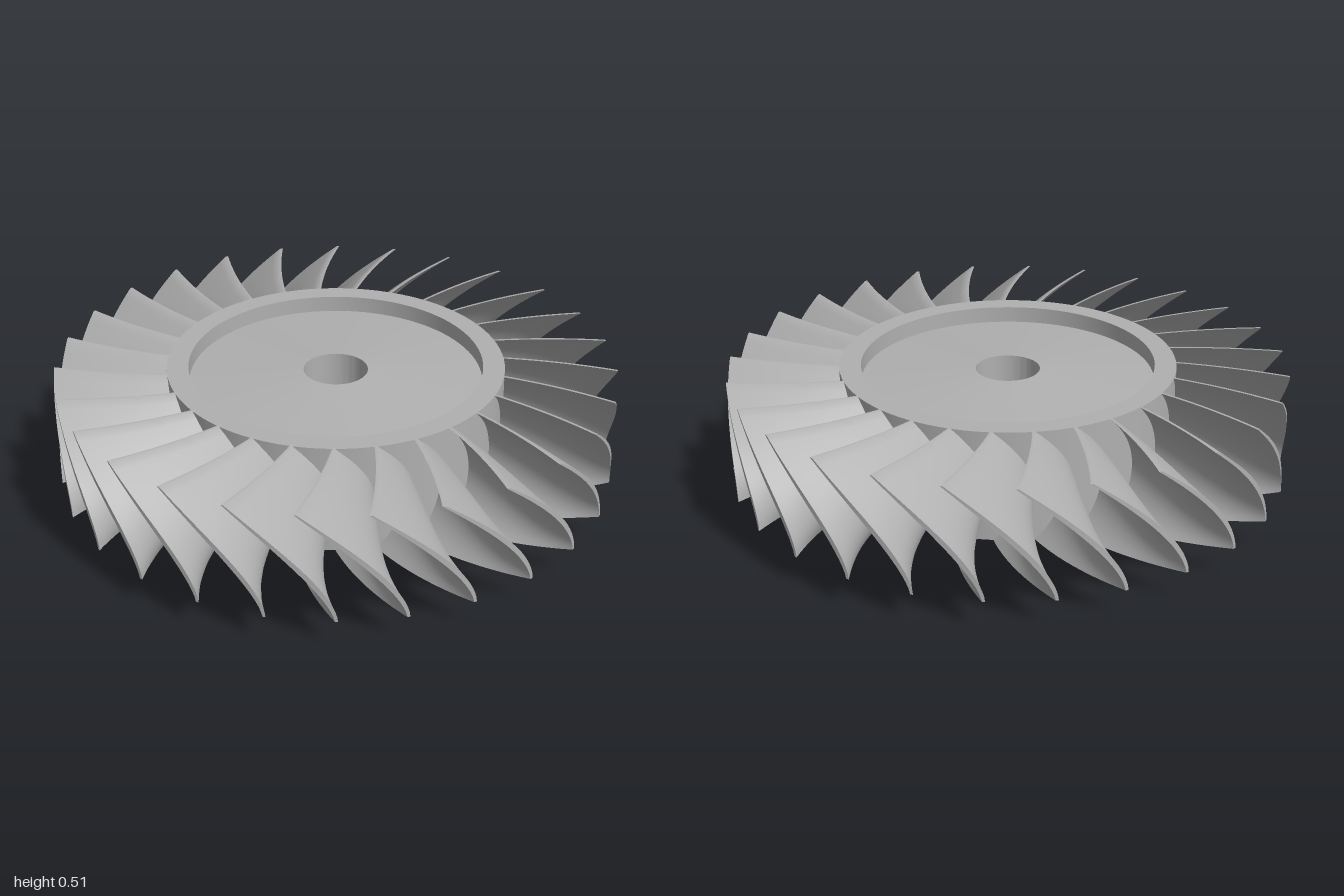
import * as THREE from 'three';
import { toCreasedNormals } from 'three/addons/utils/BufferGeometryUtils.js';

const BLADES = 27, BOTTOM = 0.11, TOP = 0.51;
const RAD = Math.PI / 180;

// Centre-line angle in degrees: u runs top to bottom, t runs root to tip.
function camber(u, t) {
  const root = 6.5 + 11 * 4 * u * (1 - u) + u;
  const tip = 20.7 * (1 - Math.pow(1 - u, 1.5));
  return root + (tip - root) * t;
}

// One twisted blade: closed loops around the section, stacked outward.
function bladeGeometry() {
  const N = 20, ROWS = 14, LOOP = 2 * (N + 1);
  const pos = [], index = [];
  for (let i = 0; i <= ROWS; i++) {
    const r = 0.59 + 0.41 * i / ROWS;
    const t = (r - 0.6) / 0.4;
    for (let j = 0; j < LOOP; j++) {
      const side = j <= N ? 1 : -1;
      const u = (side > 0 ? j : LOOP - 1 - j) / N;
      const half = 0.005 + (0.013 - 0.006 * t) * Math.sin(Math.PI * u);
      const a = camber(u, t) * RAD + side * half / r;
      pos.push(r * Math.sin(a), TOP + (BOTTOM - TOP) * u, r * Math.cos(a));
    }
  }
  for (let i = 0; i < ROWS; i++) {
    for (let j = 0; j < LOOP; j++) {
      const k = (j + 1) % LOOP;
      const a = i * LOOP + j, b = a + LOOP, c = i * LOOP + k, d = c + LOOP;
      index.push(a, b, c, b, d, c);
    }
  }
  // Tip cap
  const base = ROWS * LOOP;
  for (let j = 0; j < N; j++) {
    const p = base + j, m = base + LOOP - 1 - j;
    index.push(p, m, p + 1, m, m - 1, p + 1);
  }
  const g = new THREE.BufferGeometry();
  g.setAttribute('position', new THREE.Float32BufferAttribute(pos, 3));
  g.setIndex(index);
  return toCreasedNormals(g, 0.7);
}

export function createModel() {
  const metal = new THREE.MeshStandardMaterial({ color: 0xb0b0b0 });
  const group = new THREE.Group();
  group.name = 'turbineWheel';

  // Disc with rim, conical webs, bore and lower boss
  const profile = [
    [0.115, 0], [0.187, 0], [0.187, 0.135], [0.525, 0.18], [0.525, BOTTOM],
    [0.602, BOTTOM], [0.602, TOP], [0.525, TOP], [0.525, 0.45], [0.115, 0.48], [0.115, 0],
  ].map(([x, y]) => new THREE.Vector2(x, y));
  const disc = new THREE.Mesh(toCreasedNormals(new THREE.LatheGeometry(profile, 96), 0.4), metal);
  disc.name = 'disc';
  group.add(disc);

  // Ring of blades
  const blades = new THREE.Group();
  blades.name = 'blades';
  const geometry = bladeGeometry();
  for (let k = 0; k < BLADES; k++) {
    const blade = new THREE.Mesh(geometry, metal);
    blade.name = 'blade';
    blade.rotation.y = (-2.3 + k * 360 / BLADES) * RAD;
    blades.add(blade);
  }
  group.add(blades);
  return group;
}
